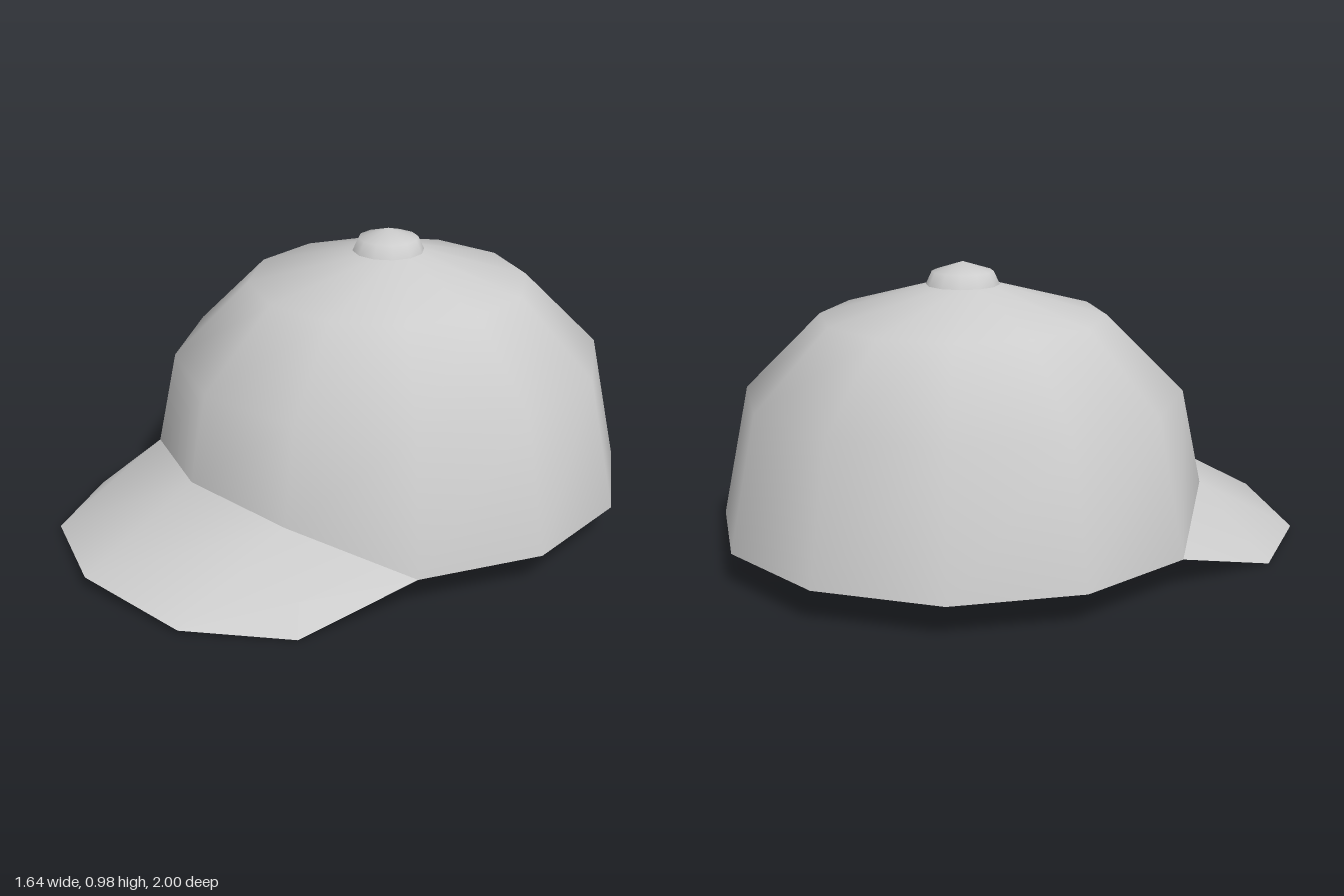
import * as THREE from 'three';

const SIDES = 12;
const CENTER_Z = -0.181;

// Point on the crown: k counts sides from the front (+z) towards +x
function ringPoint(k, r, y) {
  const a = (k * Math.PI * 2) / SIDES;
  return [r * Math.sin(a), y, CENTER_Z + r * Math.cos(a)];
}

// Skin between rows of points; a row of one point closes to a tip
function skin(rows, closed, flat) {
  const positions = [], starts = [], index = [];
  for (const row of rows) {
    starts.push(positions.length / 3);
    row.forEach((p) => positions.push(...p));
  }
  for (let j = 0; j < rows.length - 1; j++) {
    const n = rows[j].length;
    for (let i = 0; i < (closed ? n : n - 1); i++) {
      const i2 = (i + 1) % n;
      const a = starts[j] + i, b = starts[j] + i2;
      if (rows[j + 1].length === 1) {
        index.push(a, b, starts[j + 1]);
      } else {
        const c = starts[j + 1] + i2, d = starts[j + 1] + i;
        index.push(a, b, c, a, c, d);
      }
    }
  }
  let geometry = new THREE.BufferGeometry();
  geometry.setAttribute('position', new THREE.Float32BufferAttribute(positions, 3));
  geometry.setIndex(index);
  if (flat) geometry = geometry.toNonIndexed();
  geometry.computeVertexNormals();
  return geometry;
}

export function createModel() {
  const group = new THREE.Group();
  const fabric = new THREE.MeshStandardMaterial({ color: 0xcccccc, side: THREE.DoubleSide });
  fabric.name = 'grey fabric';
  const add = (name, geometry) => {
    const mesh = new THREE.Mesh(geometry, fabric);
    mesh.name = name;
    group.add(mesh);
  };
  const ring = (r, y) => Array.from({ length: SIDES }, (_, k) => ringPoint(k, r, y));

  // Rim of the crown, raised at the front where the brim joins
  const rim = ring(0.818, 0.107);
  rim[0] = ringPoint(0, 0.786, 0.259);
  rim[1] = ringPoint(1, 0.79, 0.233);
  rim[11] = ringPoint(11, 0.79, 0.233);

  // Crown
  add('crown', skin([rim, ring(0.725, 0.548), ring(0.472, 0.8), ring(0.115, 0.9), [[0, 0.92, CENTER_Z]]], true));

  // Hollow underneath, a shallow faceted cone set in slightly at the brim
  const innerRim = [...rim];
  innerRim[0] = [0, 0.224, 0.555];
  innerRim[1] = [0.39, 0.19, 0.442];
  innerRim[11] = [-0.39, 0.19, 0.442];
  add('lining', skin([[...innerRim].reverse(), [[0, 0.435, CENTER_Z]]], true, true));

  // Button on top
  add('button', skin([ring(0.121, 0.9), ring(0.101, 0.943), [[0, 0.975, CENTER_Z]]], true));

  // Brim, upper and lower faces meeting at the front edge
  const frontOf = (row) => [10, 11, 0, 1, 2].map((k) => row[k]);
  const half = [[0.4, 0.013, 0.895], [0.635, 0, 0.62]];
  const mirrored = half.map(([x, y, z]) => [-x, y, z]).reverse();
  const outer = [...mirrored, [0, 0.04, 1], ...half];
  add('brimTop', skin([outer, frontOf(rim)], false));
  add('brimUnderside', skin([frontOf(innerRim), outer], false, true));

  return group;
}
